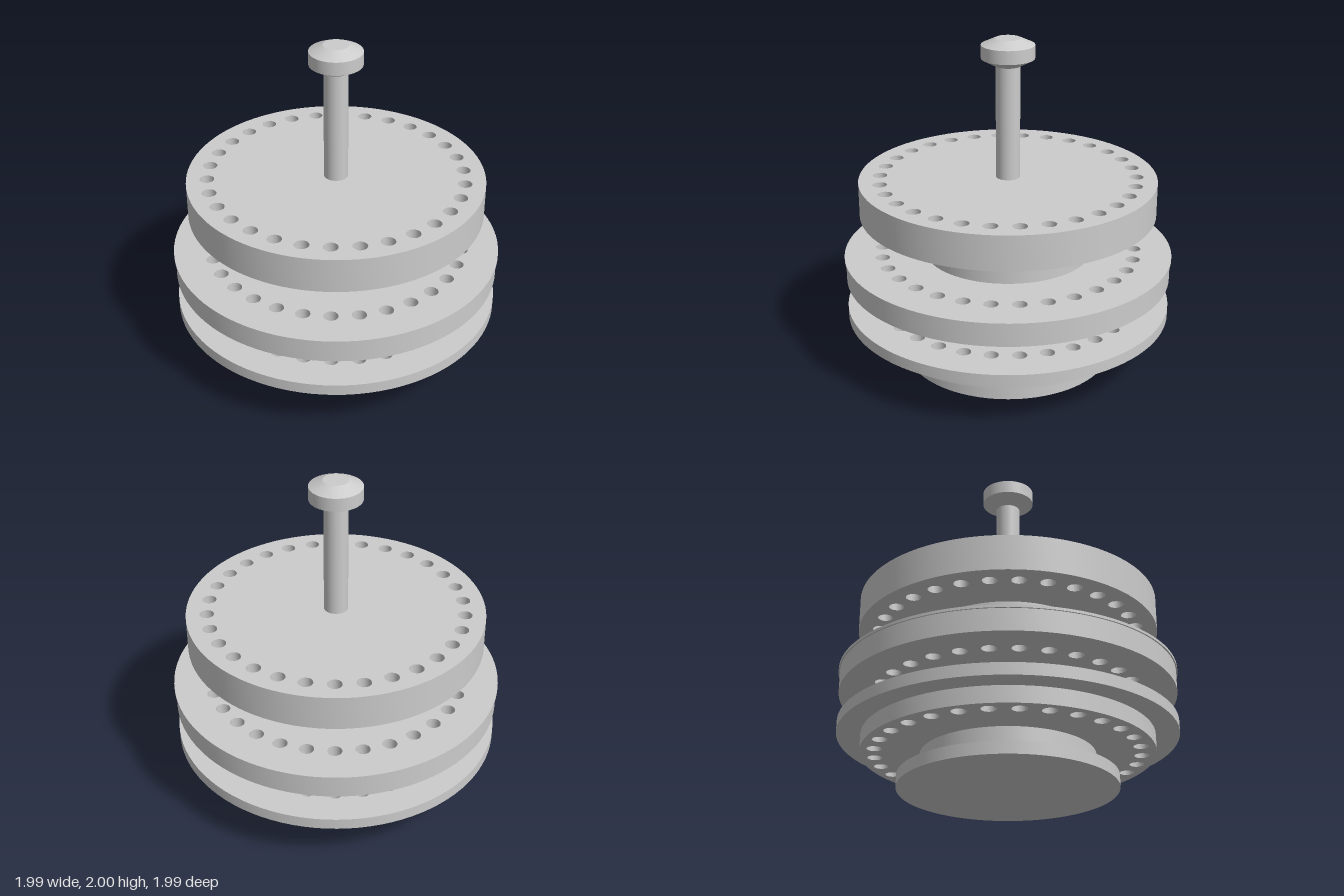
import * as THREE from 'three';
import { toCreasedNormals } from 'three/addons/utils/BufferGeometryUtils.js';

const HOLES = 30, HOLE_RING = 0.768, HOLE_RADIUS = 0.043;
const material = new THREE.MeshStandardMaterial({ color: 0xcccccc });

// points on a circle
function circle(radius, count, cx = 0, cy = 0) {
  return Array.from({ length: count }, (_, i) => {
    const a = (i / count) * Math.PI * 2;
    return new THREE.Vector2(cx + radius * Math.cos(a), cy + radius * Math.sin(a));
  });
}

// flat disc with a ring of through holes, between heights y0 and y1
function perforatedDisc(radius, y0, y1) {
  const shape = new THREE.Shape(circle(radius, 96));
  for (let i = 0; i < HOLES; i++) {
    const a = Math.PI / 2 + (i / HOLES) * Math.PI * 2;
    const hole = circle(HOLE_RADIUS, 20, HOLE_RING * Math.cos(a), HOLE_RING * Math.sin(a));
    shape.holes.push(new THREE.Path(hole.reverse()));
  }
  const geometry = new THREE.ExtrudeGeometry(shape, { depth: y1 - y0, bevelEnabled: false });
  geometry.rotateX(-Math.PI / 2).translate(0, y0, 0);
  return toCreasedNormals(geometry, Math.PI / 5);
}

// plain cylinder between heights y0 and y1
function cylinder(radius, y0, y1, segments = 96) {
  return new THREE.CylinderGeometry(radius, radius, y1 - y0, segments).translate(0, (y0 + y1) / 2, 0);
}

export function createModel() {
  const model = new THREE.Group();
  model.name = 'perforatedCarousel';
  const add = (name, geometry) => {
    const mesh = new THREE.Mesh(geometry, material);
    mesh.name = name;
    model.add(mesh);
  };

  // foot, central drum and handle rod
  add('base', cylinder(0.637, 0, 0.072));
  add('core', cylinder(0.508, 0.06, 0.96));
  add('handleRod', cylinder(0.072, 1.1, 1.86, 48));

  // stacked plates, holes aligned
  const plates = [
    ['lowerPlateStep', 0.85, 0.2, 0.297],
    ['lowerPlate', 0.987, 0.297, 0.366],
    ['middlePlate', 0.987, 0.541, 0.67],
    ['middlePlateRim', 0.995, 0.67, 0.686],
    ['topPlate', 0.892, 0.945, 1.155],
  ];
  for (const [name, radius, y0, y1] of plates) add(name, perforatedDisc(radius, y0, y1));

  // chamfered knob
  const profile = [[0, 1.838], [0.075, 1.838], [0.157, 1.882], [0.157, 1.962], [0.075, 2], [0, 2]]
    .map(([r, y]) => new THREE.Vector2(r, y));
  add('knob', toCreasedNormals(new THREE.LatheGeometry(profile, 64), Math.PI / 9));

  return model;
}
